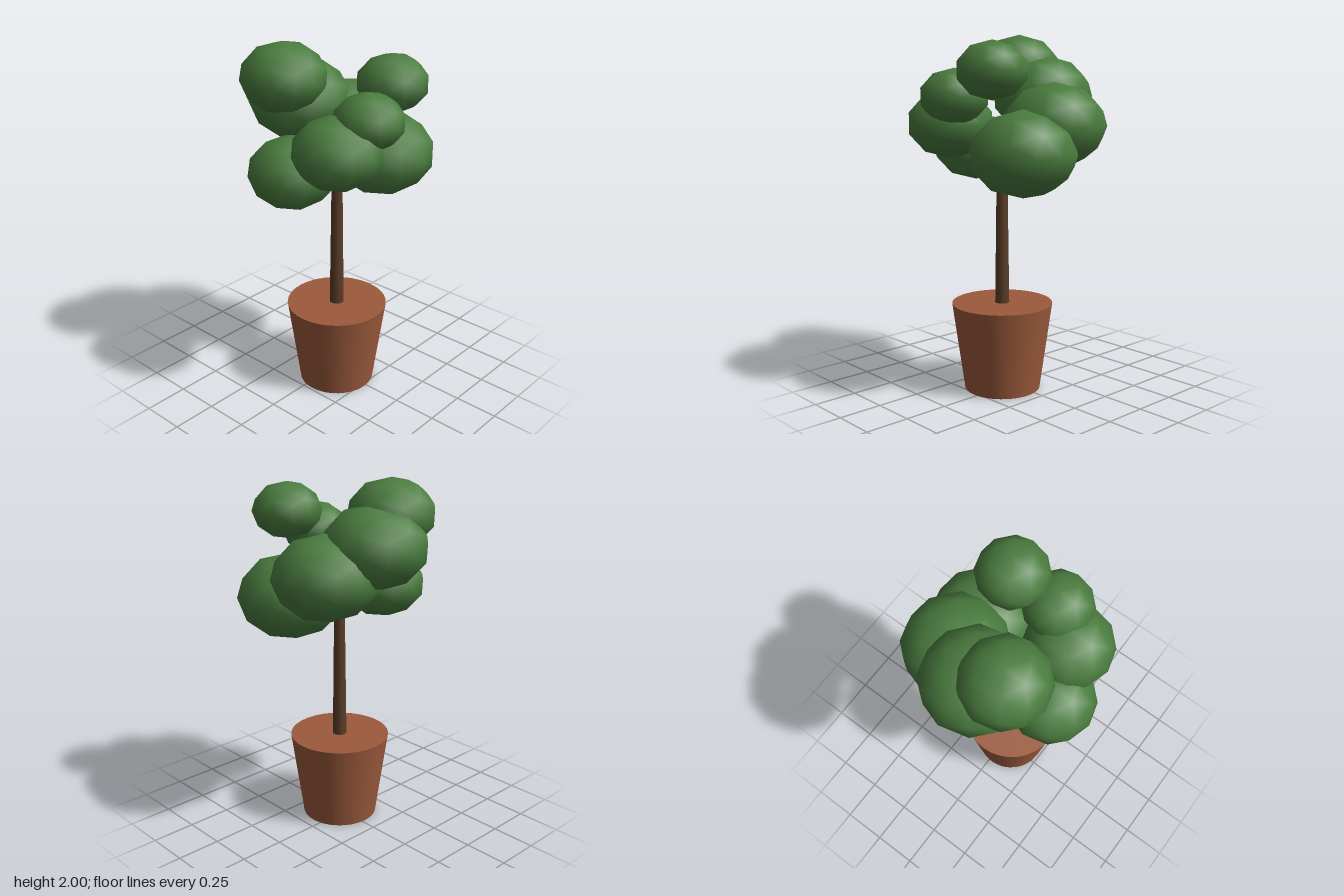
import * as THREE from 'three';

const material = (name, color) => {
  const m = new THREE.MeshStandardMaterial({ color });
  m.name = name;
  return m;
};

export function createModel() {
  const group = new THREE.Group();
  group.name = 'pottedTree';
  const terracotta = material('terracotta', 0x9c5a3c);
  const bark = material('bark', 0x5a3d28);
  const leaf = material('leafGreen', 0x4a7c3f);

  const add = (name, geometry, mat, x, y, z) => {
    const mesh = new THREE.Mesh(geometry, mat);
    mesh.name = name;
    mesh.position.set(x, y, z);
    group.add(mesh);
    return mesh;
  };

  // Pot and trunk share one upright axis, slightly off the crown's centre
  const axisX = -0.02, axisZ = 0.055;
  add('pot', new THREE.CylinderGeometry(0.285, 0.215, 0.5, 32), terracotta, axisX, 0.25, axisZ);
  add('trunk', new THREE.CylinderGeometry(0.027, 0.041, 1.02, 12), bark, axisX, 1.01, axisZ);

  // Leaf clumps: x, y, z, radius; each is a coarse ball flattened in height
  const clumps = [
    [0.25, 1.37, 0.15, 0.293],
    [-0.305, 1.37, 0, 0.242],
    [0.228, 1.51, -0.103, 0.29],
    [-0.232, 1.515, 0.245, 0.243],
    [0.0, 1.66, -0.238, 0.286],
    [-0.092, 1.665, 0.332, 0.19],
    [0.156, 1.805, 0.281, 0.194],
    [-0.155, 1.81, -0.203, 0.24],
  ];
  const ball = new THREE.IcosahedronGeometry(1, 1);
  clumps.forEach(([x, y, z, r], i) => {
    add(`leafClump${i + 1}`, ball, leaf, x, y, z).scale.set(r, r * 0.8, r);
  });

  return group;
}
